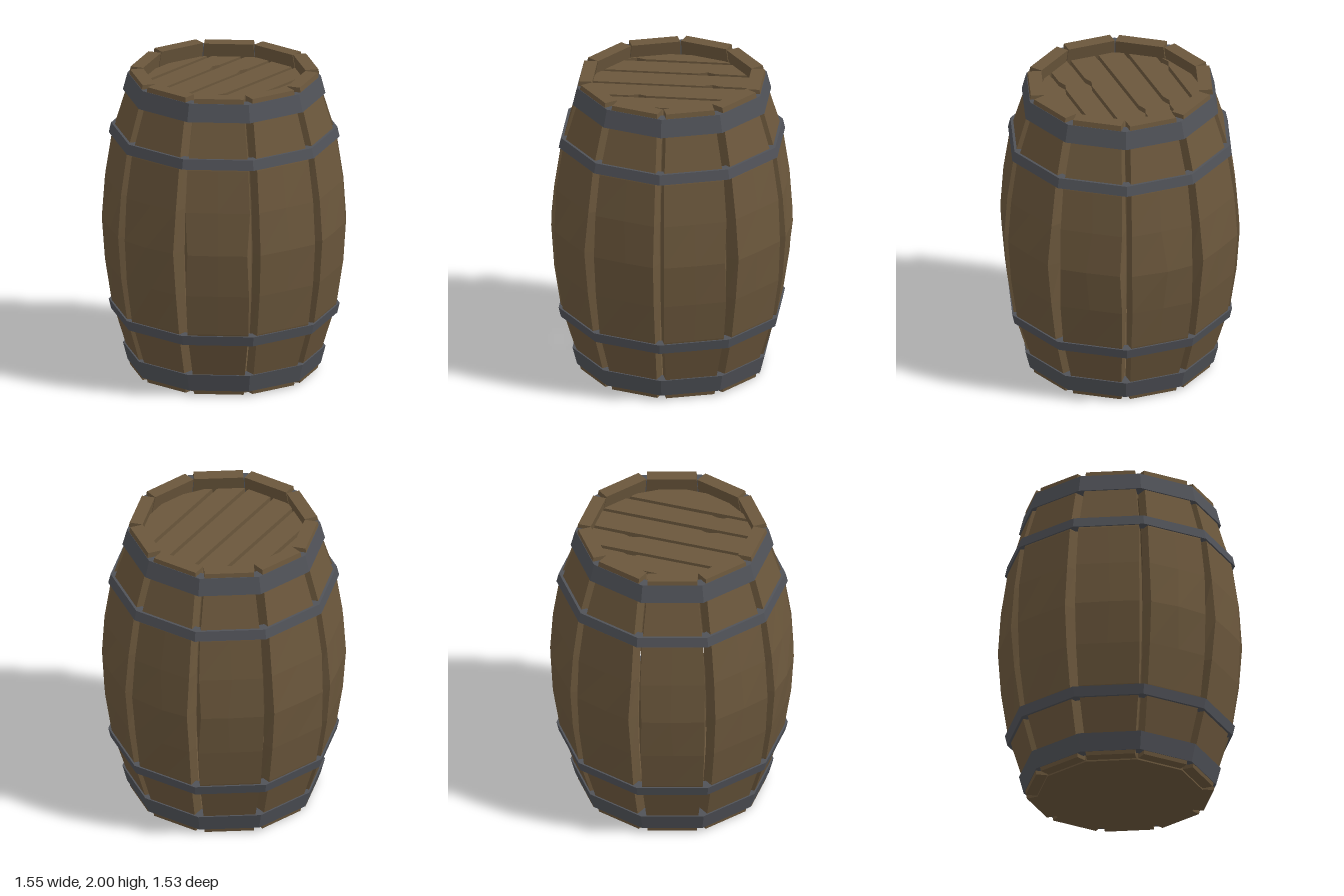
import * as THREE from 'three';

const SIDES = 10;
const STEP = (Math.PI * 2) / SIDES;
const TURN = THREE.MathUtils.degToRad(-5.5); // the whole barrel is turned slightly
const HALF_TAN = Math.tan(STEP / 2);
const THICK = 0.085;

const wood = new THREE.MeshStandardMaterial({ color: 0x6b573c, flatShading: true });
const metal = new THREE.MeshStandardMaterial({ color: 0x505258, flatShading: true });

// Small seeded generator for hand-hewn irregularity, returns -1..1
function seeded(seed) {
  return () => {
    seed = (seed * 16807) % 2147483647;
    return (seed / 2147483647) * 2 - 1;
  };
}

// [height, distance of the stave's outer face from the axis]
const half = [[0, 0.75], [0.28, 0.73], [0.55, 0.69], [0.61, 0.673], [0.85, 0.603], [0.99, 0.577]];
const PROFILE = [
  ...half.slice(1).reverse().map(([d, r]) => [1 - d, r]),
  ...half.map(([d, r]) => [1 + d, r]),
];

// One bowed plank lofted from five-sided cross-sections
function staveGeometry(rand, bulge) {
  const pos = [], index = [], n = 5;
  for (const [y, r] of PROFILE) {
    const inner = r - THICK;
    const h = inner * HALF_TAN - 0.003;
    const mid = Math.max(0, 1 - Math.abs(y - 1) / 0.4); // wear only around the belly
    const left = -h + mid * 0.012 * (1 + rand());
    const right = h - mid * 0.012 * (1 + rand());
    const centre = mid * 0.03 * rand();
    const top = y > 1.9 ? 2 + 0.004 * rand() - 0.004 : y;
    pos.push(
      left, top, r,
      centre, top, r + mid * bulge,
      right, top, r,
      h, top, inner,
      -h, top, inner,
    );
  }
  const rows = PROFILE.length;
  for (let j = 0; j < rows - 1; j++) {
    for (let i = 0; i < n; i++) {
      const a = j * n + i, b = j * n + ((i + 1) % n);
      index.push(a, b, b + n, a, b + n, a + n);
    }
  }
  const last = (rows - 1) * n;
  for (let i = 1; i < n - 1; i++) {
    index.push(0, i + 1, i);
    index.push(last, last + i, last + i + 1);
  }
  const g = new THREE.BufferGeometry();
  g.setAttribute('position', new THREE.Float32BufferAttribute(pos, 3));
  g.setIndex(index);
  g.computeVertexNormals();
  return g;
}

// Ten-sided metal band; radii are measured at the corners
function hoop(name, y0, r0, y1, r1, inner) {
  const pts = [[inner, y0], [r0, y0], [r1, y1], [inner, y1], [inner, y0]]
    .map(([x, y]) => new THREE.Vector2(x, y));
  const mesh = new THREE.Mesh(new THREE.LatheGeometry(pts, SIDES, STEP / 2, Math.PI * 2), metal);
  mesh.name = name;
  return mesh;
}

// Ten-sided wooden disc matching the inside of the staves
function disc(name, radius, y0, y1) {
  const g = new THREE.CylinderGeometry(radius, radius, y1 - y0, SIDES, 1, false, STEP / 2);
  const mesh = new THREE.Mesh(g, wood);
  mesh.position.y = (y0 + y1) / 2;
  mesh.name = name;
  return mesh;
}

// Lid boards running front to back, with a nick beside each joint
function lidBoards() {
  const group = new THREE.Group();
  group.name = 'lidBoards';
  const R = 0.535, GAP = 0.013;
  const joints = [-0.525, -0.4, -0.225, -0.04, 0.15, 0.32, 0.525];
  const nicks = [0, 0.27, -0.2, -0.25, 0.2, 0.22, 0]; // z of each nick
  const zAt = (x) => Math.sqrt(Math.max(0, R * R - x * x));
  for (let i = 0; i < joints.length - 1; i++) {
    const a = joints[i] + GAP, b = joints[i + 1] - GAP;
    const shape = new THREE.Shape();
    shape.moveTo(a, -zAt(a));
    shape.lineTo(b, -zAt(b));
    if (i < joints.length - 2) {
      const y = -nicks[i + 1];
      shape.lineTo(b, y - 0.06);
      shape.lineTo(b - 0.022, y);
      shape.lineTo(b - 0.004, y + 0.05);
    }
    shape.lineTo(b, zAt(b));
    shape.lineTo(a, zAt(a));
    const g = new THREE.ExtrudeGeometry(shape, { depth: 0.035, bevelEnabled: false });
    g.rotateX(-Math.PI / 2);
    const board = new THREE.Mesh(g, wood);
    board.position.y = 1.87;
    board.name = 'lidBoard';
    group.add(board);
  }
  return group;
}

export function createModel() {
  const model = new THREE.Group();
  model.name = 'barrel';
  const body = new THREE.Group();
  body.name = 'barrelBody';
  body.rotation.y = TURN;
  model.add(body);

  // Staves
  const rand = seeded(4711);
  const staves = new THREE.Group();
  staves.name = 'staves';
  for (let k = 0; k < SIDES; k++) {
    const stave = new THREE.Mesh(staveGeometry(rand, k % 5 === 0 ? 0.02 : 0.006), wood);
    stave.rotation.y = k * STEP;
    stave.name = 'stave';
    staves.add(stave);
  }
  body.add(staves);

  // Lid and base
  body.add(disc('lidBacking', 0.53, 1.83, 1.872));
  body.add(lidBoards());
  body.add(disc('base', 0.53, 0, 0.05));

  // Hoops, mirrored about mid height
  body.add(hoop('topHoop', 1.85, 0.645, 1.965, 0.615, 0.55));
  body.add(hoop('upperHoop', 1.56, 0.735, 1.625, 0.72, 0.66));
  body.add(hoop('lowerHoop', 0.375, 0.72, 0.44, 0.735, 0.66));
  body.add(hoop('bottomHoop', 0.035, 0.615, 0.15, 0.645, 0.55));

  return model;
}
